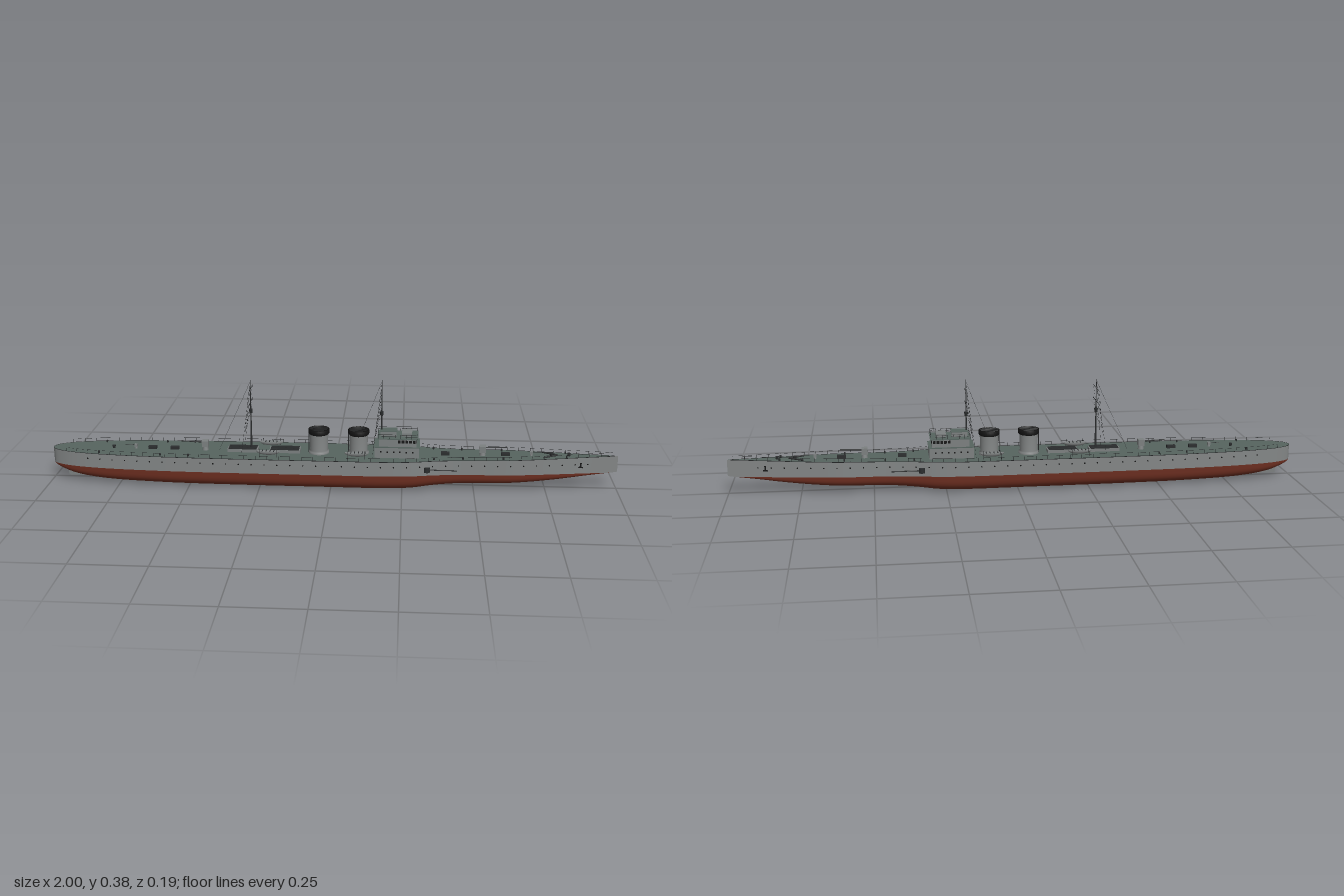
import * as THREE from 'three';
import { mergeGeometries } from 'three/addons/utils/BufferGeometryUtils.js';

const mat = (name, color, side = THREE.FrontSide) => {
  const m = new THREE.MeshStandardMaterial({ color, side });
  m.name = name;
  return m;
};
const V = (x, y, z) => new THREE.Vector3(x, y, z);

// Hull stations: x, half width, keel height
const hullCurve = new THREE.CatmullRomCurve3([
  [-1, 0, 0.057], [-0.988, 0.022, 0.051], [-0.95, 0.044, 0.036], [-0.9, 0.059, 0.022], [-0.8, 0.075, 0.01],
  [-0.6, 0.089, 0.003], [-0.4, 0.094, 0.001], [0, 0.096, 0], [0.2, 0.095, 0], [0.28, 0.088, 0.003],
  [0.36, 0.072, 0.012], [0.44, 0.062, 0.018], [0.52, 0.059, 0.02], [0.62, 0.056, 0.022], [0.7, 0.046, 0.027],
  [0.8, 0.031, 0.037], [0.9, 0.015, 0.05], [1, 0.0005, 0.062],
].map(p => V(...p)));
const stations = hullCurve.getPoints(136);
const deckY = x => 0.111 + 0.009 * Math.max(0, (x - 0.35) / 0.65) ** 1.5;
const halfWidth = x => {
  const i = Math.max(1, stations.findIndex(s => s.x >= x));
  const a = stations[i - 1], b = stations[i];
  return a.y + (b.y - a.y) * (x - a.x) / (b.x - a.x);
};

// Surface through rows of points
function loft(rows) {
  const n = rows[0].length, pos = [], idx = [];
  rows.forEach(r => r.forEach(p => pos.push(p.x, p.y, p.z)));
  for (let i = 0; i < rows.length - 1; i++) for (let j = 0; j < n - 1; j++) {
    const a = i * n + j, b = a + n;
    idx.push(a, a + 1, b, b, a + 1, b + 1);
  }
  const g = new THREE.BufferGeometry();
  g.setAttribute('position', new THREE.Float32BufferAttribute(pos, 3));
  g.setIndex(idx);
  g.computeVertexNormals();
  return g;
}
function rod(a, b, r = 0.0006, sides = 5) {
  const d = b.clone().sub(a), g = new THREE.CylinderGeometry(r, r, d.length(), sides);
  g.applyQuaternion(new THREE.Quaternion().setFromUnitVectors(V(0, 1, 0), d.normalize()));
  const c = a.clone().add(b).multiplyScalar(0.5);
  return g.translate(c.x, c.y, c.z);
}
const box = (x, y, z, w, h, d) => new THREE.BoxGeometry(w, h, d).translate(x, y, z);
const cyl = (x, y, z, r1, r2, h, s = 16) => new THREE.CylinderGeometry(r1, r2, h, s).translate(x, y, z);

export function createModel() {
  const root = new THREE.Group();
  root.name = 'warship';
  const grey = mat('hull grey', 0x838686, THREE.DoubleSide);
  const red = mat('bottom red', 0x6c2e20, THREE.DoubleSide);
  const deckGreen = mat('deck green', 0x56645f, THREE.DoubleSide);
  const paint = mat('upperworks grey', 0x7c8080);
  const dark = mat('dark fittings', 0x2b2d2e);
  const black = mat('black', 0x151515, THREE.DoubleSide);
  const add = (name, geos, m, parent = root) => {
    const mesh = new THREE.Mesh(Array.isArray(geos) ? mergeGeometries(geos) : geos, m);
    mesh.name = name;
    parent.add(mesh);
    return mesh;
  };

  // Hull: red bottom, grey sides and deck
  const water = s => Math.max(0.059, s.z);
  const side = [];
  add('hullBottom', loft(stations.map(s => {
    const row = [];
    for (let i = 0; i <= 24; i++) {
      const t = Math.PI * i / 24, c = Math.cos(t);
      row.push(V(s.x, water(s) - (water(s) - s.z) * Math.sin(t) ** 0.6, s.y * Math.sign(c) * Math.abs(c) ** 0.55));
    }
    return row;
  })), red);
  for (const k of [1, -1]) {
    side.push(loft(stations.map(s => {
      const row = [V(s.x, deckY(s.x), k * s.y), V(s.x, water(s), k * s.y)];
      return k > 0 ? row : row.reverse();
    })));
  }
  add('hullSides', side, grey);
  add('deck', loft(stations.map(s => [V(s.x, deckY(s.x), -s.y), V(s.x, deckY(s.x), s.y)])), deckGreen);
  add('rudder', box(-0.915, 0.023, 0, 0.07, 0.034, 0.006), paint);

  // Railings, deck edge, portholes
  const rails = [], edge = [], ports = [];
  for (const k of [1, -1]) {
    const at = (x, h) => V(x, deckY(x) + h, k * Math.max(0, halfWidth(x) - 0.002));
    for (let x = -0.94; x < 0.96; x += 0.04) {
      rails.push(rod(at(x, 0), at(x, 0.013), 0.0007, 4), rod(at(x, 0.0125), at(x + 0.04, 0.0125), 0.0004, 4));
    }
    for (let i = 2; i < stations.length - 1; i++) {
      const a = stations[i - 1], b = stations[i];
      edge.push(rod(V(a.x, deckY(a.x), k * a.y), V(b.x, deckY(b.x), k * b.y), 0.0011, 4));
    }
    for (let x = -0.86; x < 0.92; x += 0.045) {
      const p = new THREE.CylinderGeometry(0.0026, 0.0026, 0.0016, 8).rotateX(Math.PI / 2);
      const slope = (halfWidth(x + 0.01) - halfWidth(x - 0.01)) / 0.02;
      ports.push(p.rotateY(k * Math.atan(-slope) * -1).translate(x, 0.092, k * halfWidth(x)));
    }
    // Anchors at the bow
    ports.push(box(0.87, 0.09, k * (halfWidth(0.87) + 0.001), 0.006, 0.018, 0.003),
      box(0.87, 0.082, k * (halfWidth(0.87) + 0.001), 0.016, 0.004, 0.004));
    // Side guns beside the hull shoulder
    add('sideGun', [rod(V(0.32, 0.08, k * 0.076), V(0.44, 0.08, k * 0.078), 0.002, 8),
      cyl(0.335, 0.08, k * 0.074, 0.011, 0.011, 0.018)], dark);
  }
  add('railings', rails, dark);
  add('deckEdge', edge, dark);
  add('portholes', ports, black);

  // Bridge
  const bridge = new THREE.Group();
  bridge.name = 'bridge';
  root.add(bridge);
  add('bridgeBlocks', [box(0.23, 0.13, 0, 0.155, 0.04, 0.096), box(0.233, 0.164, 0, 0.13, 0.03, 0.09),
    box(0.2, 0.19, 0, 0.055, 0.016, 0.04), box(0.265, 0.189, 0, 0.035, 0.012, 0.05)], paint, bridge);
  add('bridgeDecks', [box(0.23, 0.15, 0, 0.16, 0.003, 0.1), box(0.233, 0.18, 0, 0.142, 0.003, 0.098),
    box(0.2, 0.199, 0, 0.06, 0.002, 0.045)], deckGreen, bridge);
  const win = [], bridgeRail = [];
  for (let i = -4; i <= 4; i++) win.push(box(0.2985, 0.17, i * 0.0095, 0.002, 0.01, 0.007));
  for (const k of [1, -1]) {
    for (let i = 0; i < 5; i++) win.push(box(0.29 - i * 0.013, 0.17, k * 0.0455, 0.009, 0.01, 0.002));
    for (let i = 0; i < 6; i++) win.push(box(0.175 + i * 0.022, 0.133, k * 0.0485, 0.005, 0.005, 0.002));
    for (let i = 0; i < 8; i++) {
      const x = 0.165 + i * 0.0194;
      bridgeRail.push(rod(V(x, 0.18, k * 0.047), V(x, 0.196, k * 0.047), 0.0007, 4));
    }
    for (const y of [0.189, 0.196]) bridgeRail.push(rod(V(0.165, y, k * 0.047), V(0.301, y, k * 0.047)));
  }
  for (const x of [0.165, 0.301]) for (const y of [0.189, 0.196])
    bridgeRail.push(rod(V(x, y, -0.047), V(x, y, 0.047)));
  add('bridgeWindows', win, black, bridge);
  add('bridgeRails', bridgeRail, dark, bridge);

  // Funnels with dark caps and grilles
  for (const x of [-0.045, 0.095]) {
    const f = new THREE.Group();
    f.name = 'funnel';
    f.position.x = x;
    root.add(f);
    add('funnelCasing', new THREE.LatheGeometry([[0.036, 0.11], [0.036, 0.118], [0.031, 0.122], [0.033, 0.18]]
      .map(p => new THREE.Vector2(...p)), 28), grey, f);
    add('funnelCap', new THREE.LatheGeometry([[0.033, 0.18], [0.037, 0.184], [0.037, 0.198], [0.033, 0.199],
      [0.031, 0.185], [0, 0.185]].map(p => new THREE.Vector2(...p)), 28), black, f);
    const bars = [];
    for (let i = -2; i <= 2; i++) {
      const z = i * 0.012, l = Math.sqrt(0.033 ** 2 - z * z);
      bars.push(rod(V(-l, 0.198, z), V(l, 0.198, z), 0.001));
    }
    bars.push(rod(V(-0.036, 0.11, 0), V(-0.036, 0.19, 0), 0.0018));
    add('funnelGrille', bars, dark, f);
  }

  // Masts with yards, lookout and rigging
  for (const [x, top, aft] of [[-0.285, 0.37, -0.4], [0.175, 0.38, 0.075]]) {
    const g = new THREE.Group();
    g.name = 'mast';
    root.add(g);
    add('mastPole', [cyl(x, (top + 0.11) / 2, 0, 0.0008, 0.0038, top - 0.11, 8),
      cyl(x, 0.258, 0, 0.007, 0.005, 0.014, 12),
      rod(V(x, 0.338, -0.058), V(x, 0.338, 0.058), 0.0009), rod(V(x, 0.292, -0.058), V(x, 0.292, 0.058), 0.0011),
      rod(V(x, 0.248, -0.012), V(x, 0.248, 0.012), 0.0012)], dark, g);
    const lines = [rod(V(x, top - 0.005, 0), V(aft, 0.112, 0), 0.0004, 4)];
    for (const k of [1, -1]) lines.push(
      rod(V(x, top - 0.01, 0), V(x - 0.03, 0.112, k * 0.05), 0.0004, 4),
      rod(V(x, 0.338, k * 0.058), V(x - 0.02, 0.18, k * 0.02), 0.0003, 4),
      rod(V(x, 0.292, k * 0.058), V(x - 0.02, 0.18, k * 0.022), 0.0003, 4));
    add('rigging', lines, dark, g);
  }

  // Deck guns: pedestal, shield and barrel
  const gun = (x, dir, size = 1) => {
    const y = deckY(x), s = size;
    add('gunMount', [cyl(x, y + 0.008 * s, 0, 0.008 * s, 0.011 * s, 0.016 * s),
      box(x, y + 0.024 * s, 0, 0.022 * s, 0.022 * s, 0.026 * s)], paint);
    add('gunBarrel', rod(V(x, y + 0.028 * s, 0), V(x + dir * 0.085 * s, y + 0.031 * s, 0), 0.0022 * s, 8), dark);
  };
  gun(-0.45, -1);
  gun(0.53, 1);
  for (const [x, dir] of [[-0.7, -1], [0.7, 1]]) gun(x, dir, 0.45);

  // Deck houses with skylight slats
  for (const x of [-0.315, -0.165]) {
    add('skylight', box(x, 0.116, 0, 0.108, 0.012, 0.042), paint);
    const slats = [];
    for (let i = -2; i <= 2; i++) slats.push(box(x, 0.1235, i * 0.009, 0.1, 0.003, 0.005));
    add('skylightSlats', slats, dark);
  }

  // Boats on chocks
  for (const x of [-0.22, 0.09]) for (const k of [1, -1]) {
    const hull = new THREE.SphereGeometry(1, 20, 8, 0, Math.PI * 2, Math.PI / 2, Math.PI / 2);
    add('boat', hull.scale(0.042, 0.013, 0.012).translate(x, 0.128, k * 0.052), grey);
    add('boatCover', new THREE.CylinderGeometry(1, 1, 1, 20).scale(0.042, 0.002, 0.012).translate(x, 0.128, k * 0.052), paint);
    add('boatThwarts', [-0.02, -0.007, 0.007, 0.02].map(d => box(x + d, 0.1295, k * 0.052, 0.003, 0.002, 0.018)), dark);
    add('davits', [-0.03, 0.03].map(d => rod(V(x + d, 0.11, k * 0.07), V(x + d, 0.138, k * 0.062), 0.001)), dark);
  }

  // Breakwater, capstans, hatches, vents and bollards
  const fit = [];
  for (const k of [1, -1]) {
    fit.push(rod(V(0.79, deckY(0.79) + 0.003, 0), V(0.74, deckY(0.74) + 0.003, k * 0.03), 0.003, 6));
    for (const x of [-0.82, -0.6, -0.5, 0.36, 0.46, 0.6, 0.82])
      fit.push(cyl(x, deckY(x) + 0.004, k * halfWidth(x) * 0.8, 0.003, 0.003, 0.008, 8));
  }
  for (const x of [-0.78, 0.77, 0.83]) fit.push(cyl(x, deckY(x) + 0.005, 0, 0.006, 0.005, 0.01, 12));
  for (const x of [-0.64, -0.56, 0.4, 0.61]) fit.push(box(x, deckY(x) + 0.005, 0, 0.03, 0.01, 0.016));
  add('deckFittings', fit, dark);
  return root;
}
